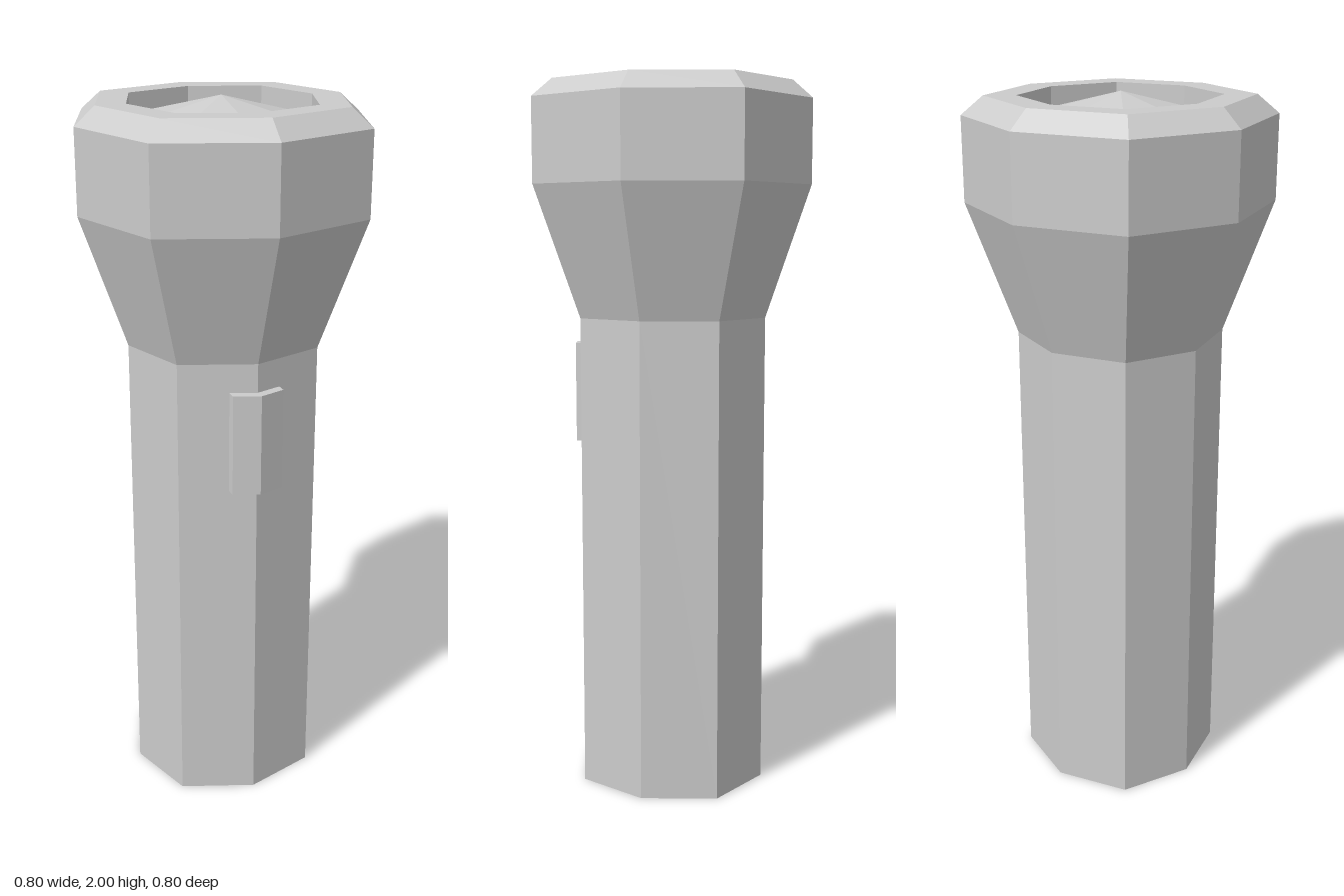
import * as THREE from 'three';

const material = new THREE.MeshStandardMaterial({ color: 0xcccccc, flatShading: true });

// Eight-sided turned solid whose diagonal corners sit slightly further out
function octagonLathe(profile) {
  const geometry = new THREE.LatheGeometry(profile.map(([r, y]) => new THREE.Vector2(r, y)), 8);
  const pos = geometry.attributes.position;
  for (let i = 0; i < pos.count; i++) {
    const x = pos.getX(i), z = pos.getZ(i);
    if (Math.abs(x) > 0.01 && Math.abs(z) > 0.01) {
      pos.setX(i, x * 1.052);
      pos.setZ(i, z * 1.052);
    }
  }
  geometry.computeVertexNormals();
  return geometry;
}

export function createModel() {
  const group = new THREE.Group();
  const add = (name, geometry) => {
    const mesh = new THREE.Mesh(geometry, material);
    mesh.name = name;
    group.add(mesh);
    return mesh;
  };

  // Handle with closed base
  add('handle', octagonLathe([[0, 0], [0.272, 0], [0.272, 1.345]]));

  // Flared head, bevelled rim and the wall of the lens recess
  add('head', octagonLathe([
    [0.272, 1.345], [0.4, 1.71], [0.4, 1.94], [0.343, 1.99], [0.26, 1.99], [0.26, 1.935],
  ]));

  // Shallow faceted lens, rising to a point
  add('lens', octagonLathe([[0.26, 1.935], [0, 2]]));

  // Switch folded around the front corner of the handle
  const outline = new THREE.Shape([
    [-0.072, -0.248], [-0.072, -0.275], [0, -0.3], [0.072, -0.275], [0.072, -0.248], [0, -0.268],
  ].map(([x, y]) => new THREE.Vector2(x, y)));
  const slider = new THREE.ExtrudeGeometry(outline, { depth: 0.285, bevelEnabled: false });
  slider.rotateX(-Math.PI / 2);
  add('switch', slider).position.y = 0.98;

  return group;
}
